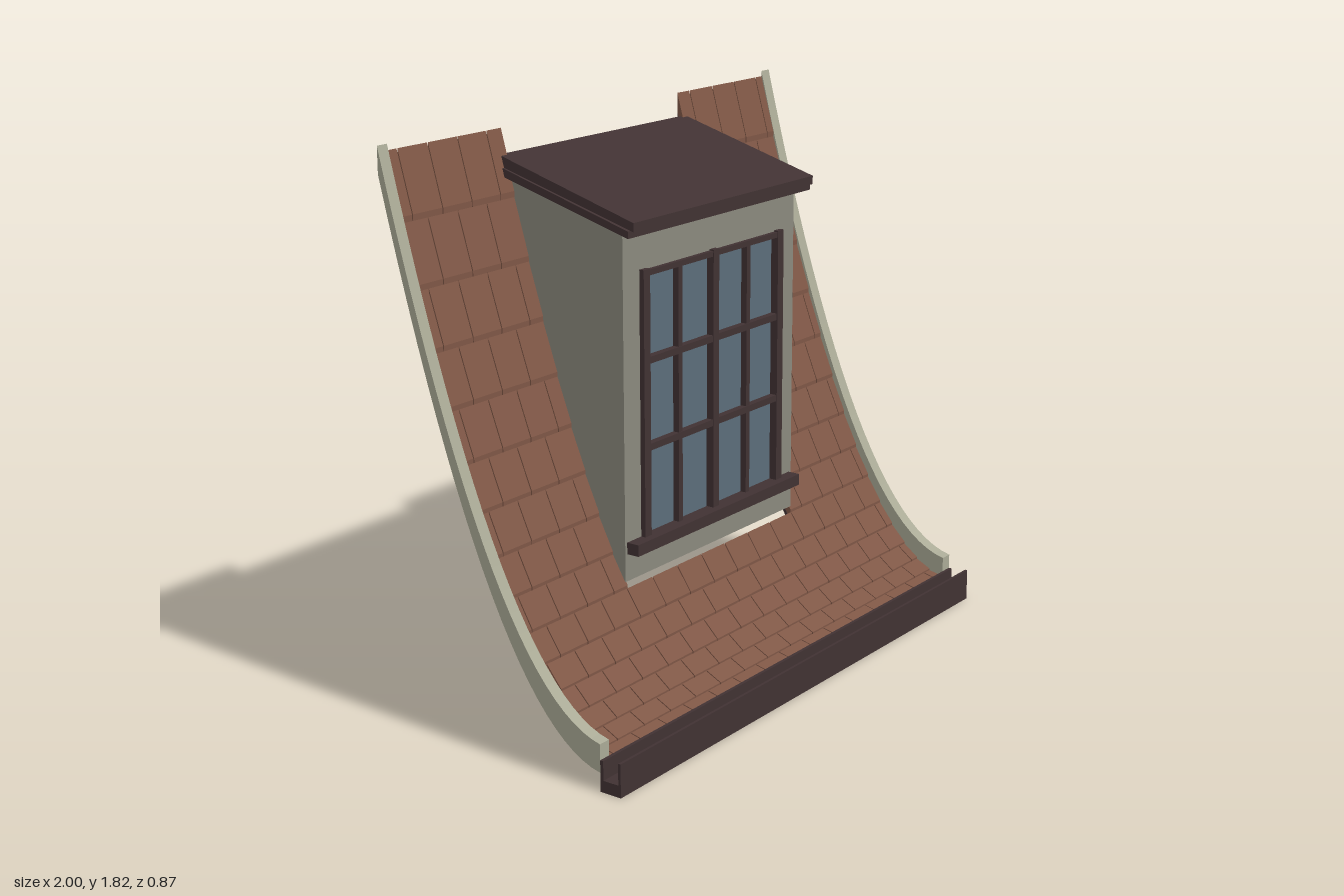
import * as THREE from 'three';
import { mergeGeometries } from 'three/addons/utils/BufferGeometryUtils.js';

const mat = (name, color) => {
  const m = new THREE.MeshStandardMaterial({ color });
  m.name = name;
  return m;
};

export function createModel() {
  const group = new THREE.Group();
  const tileMat = mat('terracotta tile', 0x7f5746);
  const darkMat = mat('dark brown wood', 0x413233);
  const wallMat = mat('grey wall', 0x8b897e);
  const trimMat = mat('pale trim', 0xaaaa96);
  const glassMat = mat('blue grey glass', 0x5b6d7a);

  const add = (name, geometry, material) => {
    const mesh = new THREE.Mesh(geometry, material);
    mesh.name = name;
    group.add(mesh);
    return mesh;
  };
  // Box given by its minimum and maximum corners
  const box = (name, x0, x1, y0, y1, z0, z1, material) => {
    const g = new THREE.BoxGeometry(x1 - x0, y1 - y0, z1 - z0);
    g.translate((x0 + x1) / 2, (y0 + y1) / 2, (z0 + z1) / 2);
    return add(name, g, material);
  };
  // Outline of [z, y] points swept from x0 to x1
  const sweepX = (pts, x0, x1) => {
    const shape = new THREE.Shape(pts.map(([z, y]) => new THREE.Vector2(-z, y)));
    const g = new THREE.ExtrudeGeometry(shape, { depth: x1 - x0, bevelEnabled: false });
    return g.rotateY(Math.PI / 2).translate(x0, 0, 0);
  };

  // Curved roof profile: t runs back from the eaves, off is the height above the surface
  const ROWS = 15, RUN = 0.799, Z0 = 0.362, STEP = RUN / ROWS, OPEN = 6;
  const roofPoint = (t, off) => {
    const slope = 0.162 + 4.74 * t;
    return [Z0 - t, 0.05 + 0.162 * t + 2.37 * t * t + off * Math.hypot(1, slope)];
  };
  const strip = (t0, t1, low, high) => {
    const bottom = [], top = [], n = 24;
    for (let i = 0; i <= n; i++) {
      const t = t0 + (t1 - t0) * i / n;
      bottom.push(low(t));
      top.push(high(t));
    }
    return [...bottom, ...top.reverse()];
  };
  const deck = (t0, t1) => strip(t0, t1, t => roofPoint(t, 0), t => roofPoint(t, 0.01));

  // Roof deck around the dormer opening
  const HOLE = 0.455, tOpen = OPEN * STEP;
  add('lowerRoofDeck', sweepX(deck(0, tOpen), -0.97, 0.97), darkMat);
  add('rightRoofDeck', sweepX(deck(tOpen, RUN), -0.97, -HOLE), darkMat);
  add('leftRoofDeck', sweepX(deck(tOpen, RUN), HOLE, 0.97), darkMat);

  // Staggered rows of tiles, each row tilted so its lower edge stands proud
  const W = 0.131, GAP = 0.002, EDGE = 0.96;
  for (let r = 0; r < ROWS; r++) {
    const a = r * STEP, b = a + STEP;
    const outline = [roofPoint(a, 0.012), roofPoint(b, 0.01), roofPoint(b, 0.026), roofPoint(a, 0.031)];
    const spans = r < OPEN ? [[-EDGE, EDGE]] : [[-EDGE, -HOLE], [HOLE, EDGE]];
    const tiles = [];
    for (const [s0, s1] of spans) {
      for (let i = -9; i < 9; i++) {
        const x = (i + (r % 2) * 0.5) * W;
        const x0 = Math.max(s0, x + GAP), x1 = Math.min(s1, x + W - GAP);
        if (x1 - x0 > 0.005) tiles.push(sweepX(outline, x0, x1));
      }
    }
    add('tileRow' + (r + 1), mergeGeometries(tiles), tileMat);
  }

  // Curved edge trims
  const trim = strip(0, RUN,
    t => roofPoint(t, 0.01),
    t => { const p = roofPoint(t, 0); return [p[0], p[1] + 0.1 + 0.025 * t / RUN]; });
  add('rightEdgeTrim', sweepX(trim, -1, -0.958), trimMat);
  add('leftEdgeTrim', sweepX(trim, 0.955, 1), trimMat);

  // Open gutter along the eaves
  add('gutter', sweepX([
    [0.437, 0], [0.437, 0.107], [0.428, 0.107], [0.428, 0.038],
    [0.373, 0.038], [0.373, 0.1], [0.362, 0.1], [0.362, 0],
  ], -1, 1), darkMat);

  // Dormer front wall with its window opening
  const wall = new THREE.Shape([[-0.46, 0.415], [0.46, 0.415], [0.46, 1.54], [-0.46, 1.54]]
    .map(p => new THREE.Vector2(...p)));
  wall.holes.push(new THREE.Path([[-0.354, 0.54], [-0.354, 1.385], [0.354, 1.385], [0.354, 0.54]]
    .map(p => new THREE.Vector2(...p))));
  add('dormerFrontWall',
    new THREE.ExtrudeGeometry(wall, { depth: 0.058, bevelEnabled: false }).translate(0, 0, -0.02), wallMat);

  // Dormer side walls and the beam inside
  const cheek = [[-0.02, 0.43], [-0.1, 0.43], [-0.435, 0.57], [-0.435, 1.675], [-0.02, 1.555]];
  add('dormerRightWall', sweepX(cheek, -0.46, -0.43), wallMat);
  add('dormerLeftWall', sweepX(cheek, 0.43, 0.46), wallMat);
  box('innerLintel', -0.43, 0.43, 1.36, 1.52, -0.18, -0.02, wallMat);

  // Sloping dormer roof in two layers
  add('dormerRoofLower', sweepX([[0.083, 1.519], [0.083, 1.542], [-0.436, 1.69], [-0.436, 1.664]], -0.49, 0.49), darkMat);
  add('dormerRoofUpper', sweepX([[0.098, 1.54], [0.098, 1.568], [-0.425, 1.72], [-0.425, 1.687]], -0.482, 0.482), darkMat);

  // Window glass, frame, glazing bars and sill
  box('windowGlass', -0.354, 0.354, 0.54, 1.385, 0.018, 0.028, glassMat);
  for (const s of [-1, 1]) {
    box('windowSideFrame', s * 0.362 - 0.016, s * 0.362 + 0.016, 0.53, 1.4, 0.014, 0.055, darkMat);
    box('verticalGlazingBar', s * 0.185 - 0.01, s * 0.185 + 0.01, 0.54, 1.385, 0.028, 0.05, darkMat);
  }
  box('windowMullion', -0.015, 0.015, 0.54, 1.4, 0.014, 0.055, darkMat);
  box('windowTopFrame', -0.375, 0.375, 1.378, 1.396, 0.014, 0.053, darkMat);
  for (const y of [0.83, 1.11]) {
    box('horizontalGlazingBar', -0.354, 0.354, y - 0.011, y + 0.011, 0.028, 0.052, darkMat);
  }
  box('windowSill', -0.45, 0.447, 0.505, 0.543, 0.025, 0.082, darkMat);

  return group;
}
